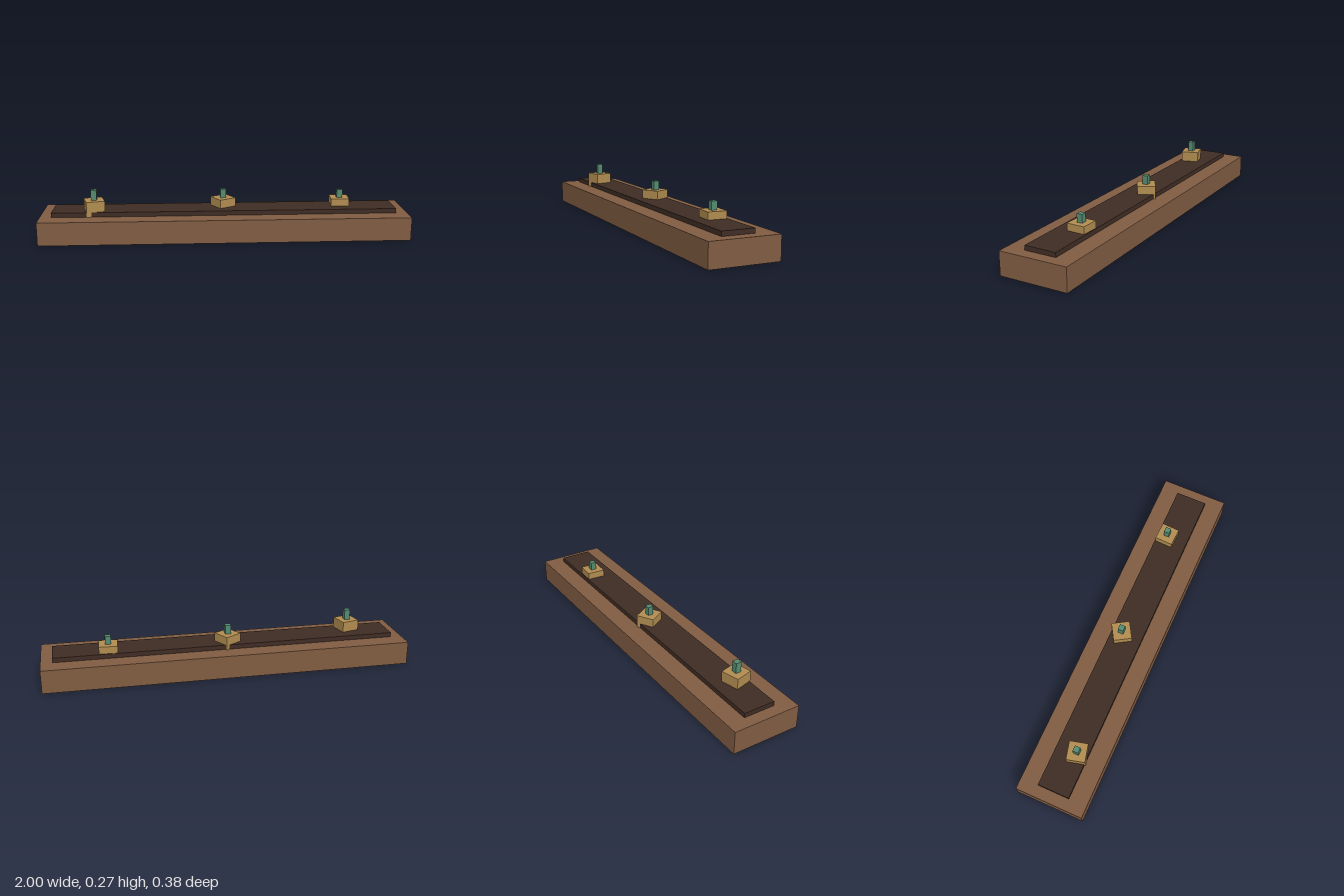
import * as THREE from 'three';

const material = (name, color, side = THREE.FrontSide) => {
  const m = new THREE.MeshStandardMaterial({ color, side });
  m.name = name;
  return m;
};

// Box placed by its bottom height
function block(name, mat, [w, h, d], [x, y, z], turn = 0) {
  const mesh = new THREE.Mesh(new THREE.BoxGeometry(w, h, d), mat);
  mesh.name = name;
  mesh.position.set(x, y + h / 2, z);
  mesh.rotation.y = turn;
  return mesh;
}

export function createModel() {
  const model = new THREE.Group();
  model.name = 'planterTray';

  const wood = material('brownWood', 0x805c42, THREE.DoubleSide);
  const soil = material('darkSoil', 0x3f2c24);
  const straw = material('tanPot', 0xb08c50);
  const green = material('greenStem', 0x568a70);

  const rim = 0.127;

  // Hollow base, open underneath: drop the bottom face of the box
  const base = block('base', wood, [2, rim, 0.375], [0, 0, 0]);
  const index = Array.from(base.geometry.index.array);
  index.splice(18, 6);
  base.geometry.setIndex(index);
  base.geometry.clearGroups();
  model.add(base);

  // Raised strip along the top
  model.add(block('soilBed', soil, [1.875, 0.025, 0.175], [0, rim, 0]));

  // Turned pots, each with an upright stem
  const plants = [
    { x: -0.71, z: 0.033, top: 0.21, tip: 0.267, turn: 0.25 },
    { x: -0.007, z: -0.029, top: 0.199, tip: 0.248, turn: 0.54 },
    { x: 0.643, z: -0.032, top: 0.191, tip: 0.236, turn: -0.045 },
  ];
  for (const { x, z, top, tip, turn } of plants) {
    const plant = new THREE.Group();
    plant.name = 'plant';
    plant.add(block('pot', straw, [0.1, top - rim, 0.1], [x, rim, z], turn));
    plant.add(block('stem', green, [0.031, tip - top, 0.031], [x, top, z]));
    model.add(plant);
  }
  return model;
}
